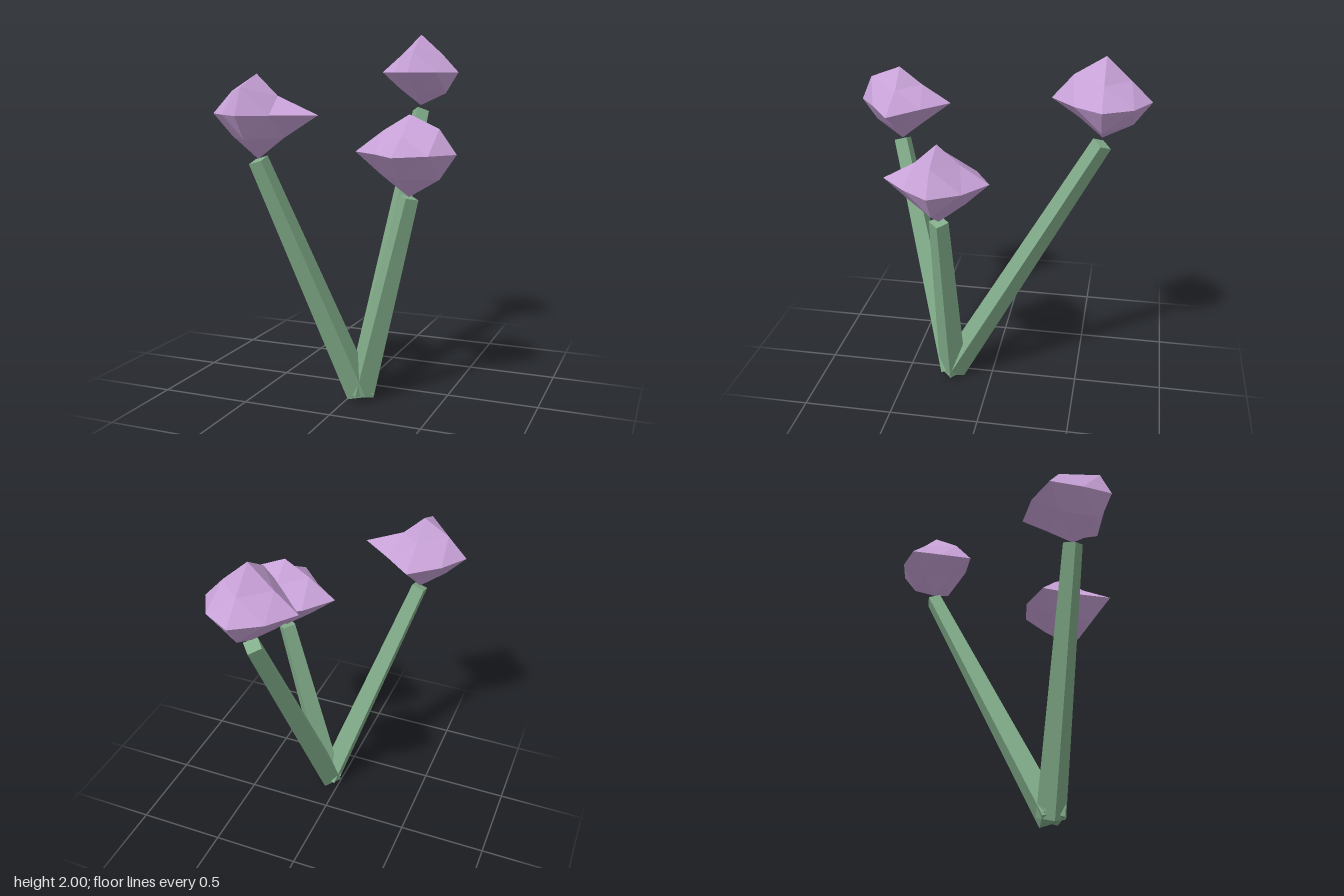
import * as THREE from 'three';

const stemMaterial = new THREE.MeshStandardMaterial({ color: 0x82ad8a, flatShading: true });
const bloomMaterial = new THREE.MeshStandardMaterial({ color: 0xc8a2d8, flatShading: true });

// Directions (x, y, z signs) matching the order of each bloom's reach values
const DIRECTIONS = [
  '1,0,0', '-1,0,0', '0,1,0', '0,-1,0', '0,0,1', '0,0,-1',
  '1,1,0', '1,-1,0', '-1,1,0', '-1,-1,0',
  '0,1,1', '0,-1,1', '0,1,-1', '0,-1,-1',
  '1,0,1', '1,0,-1', '-1,0,1', '-1,0,-1',
];

const ROOT = new THREE.Vector3(0.067, 0.04, 0.23);
const FLATTEN = 0.8;

const FLOWERS = [
  { name: 'frontRight', center: [-0.34, 1.57, 0.595],
    reach: [0.333, 0.254, 0.2, 0.225, 0.23, 0.293, 0.115, 0.145, 0.143, 0.143,
      0.17, 0.147, 0.128, 0.142, 0.13, 0.153, 0.127, 0.155] },
  { name: 'back', center: [0.137, 1.777, -0.59],
    reach: [0.232, 0.247, 0.222, 0.196, 0.264, 0.238, 0.132, 0.155, 0.127, 0.128,
      0.156, 0.12, 0.13, 0.15, 0.14, 0.15, 0.128, 0.143] },
  { name: 'left', center: [0.338, 1.365, 0.226],
    reach: [0.252, 0.299, 0.2, 0.228, 0.287, 0.27, 0.16, 0.163, 0.143, 0.15,
      0.118, 0.15, 0.12, 0.145, 0.145, 0.158, 0.137, 0.173] },
];

// Faceted bloom: a once-divided octahedron with each corner pushed in or out
function createBloom(reach) {
  const geometry = new THREE.OctahedronGeometry(1, 1);
  const position = geometry.attributes.position;
  for (let i = 0; i < position.count; i++) {
    const [x, y, z] = [position.getX(i), position.getY(i), position.getZ(i)].map((v) => Math.round(v) || 0);
    const r = reach[DIRECTIONS.indexOf([x, y, z].join())];
    const isTip = x === 0 && z === 0;
    position.setXYZ(i, x * r, y * r * (isTip ? 1 : FLATTEN), z * r);
  }
  geometry.computeVertexNormals();
  return new THREE.Mesh(geometry, bloomMaterial);
}

// Tapered four-sided stem, turned so that one ridge faces the way it leans
function createStem(from, to) {
  const span = to.clone().sub(from);
  const stem = new THREE.Mesh(new THREE.CylinderGeometry(0.053, 0.08, span.length(), 4), stemMaterial);
  stem.rotation.order = 'YXZ';
  stem.rotation.y = Math.atan2(span.x, span.z);
  stem.rotation.x = Math.atan2(Math.hypot(span.x, span.z), span.y);
  stem.position.copy(from).add(to).multiplyScalar(0.5);
  return stem;
}

export function createModel() {
  const model = new THREE.Group();
  model.name = 'flowerCluster';
  for (const { name, center, reach } of FLOWERS) {
    const flower = new THREE.Group();
    flower.name = name + 'Flower';

    const bloom = createBloom(reach);
    bloom.name = name + 'Bloom';
    bloom.position.set(...center);

    const stem = createStem(ROOT, new THREE.Vector3(center[0], center[1] - 0.23, center[2]));
    stem.name = name + 'Stem';

    flower.add(stem, bloom);
    model.add(flower);
  }
  return model;
}
